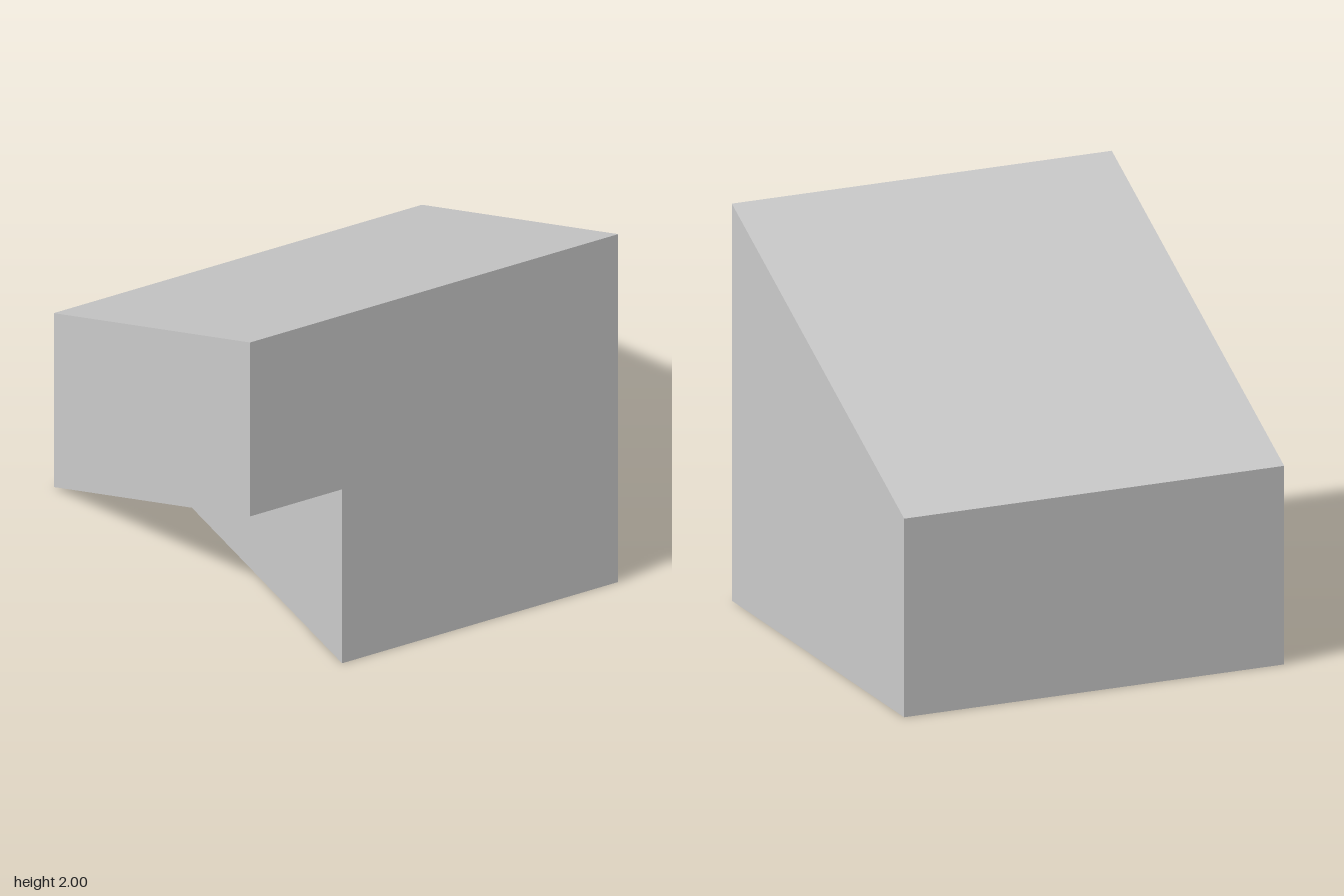
import * as THREE from 'three';

// Corners of the solid
const topFL = [1, 2, 1], topFR = [-1, 2, 1], topBL = [1, 1, -1], topBR = [-1, 1, -1];
const baseFL = [1, 0, 1], baseBL = [1, 0, -1], baseBR = [-1, 0, -1];
// Corners of the wedge cut under the right side
const cutFront = [-0.5, 0, 1], cutBack = [-0.5, 0, -1], cutTop = [-0.5, 1, 1], cutSide = [-1, 1, 1];

// Flat faces, each a counter-clockwise loop that can be fanned from its first corner
const faces = [
  [topFR, topFL, topBL, topBR],                          // sloping top
  [cutTop, cutFront, baseFL, topFL, topFR, cutSide],     // L-shaped front
  [topBL, baseBL, cutBack, baseBR, topBR],               // back
  [baseFL, baseBL, topBL, topFL],                        // left side
  [baseBR, cutSide, topFR, topBR],                       // right side
  [cutBack, baseBL, baseFL, cutFront],                   // bottom
  [baseBR, cutBack, cutTop, cutSide],                    // sloping underside of the cut
  [cutBack, cutFront, cutTop],                           // inner wall of the cut
];

function solidFromFaces(loops) {
  const positions = [];
  for (const loop of loops)
    for (let i = 1; i < loop.length - 1; i++)
      positions.push(...loop[0], ...loop[i], ...loop[i + 1]);
  const geometry = new THREE.BufferGeometry();
  geometry.setAttribute('position', new THREE.Float32BufferAttribute(positions, 3));
  geometry.computeVertexNormals();
  return geometry;
}

export function createModel() {
  const group = new THREE.Group();
  group.name = 'slopedBlock';
  const material = new THREE.MeshStandardMaterial({ color: 0xcccccc, flatShading: true });
  const block = new THREE.Mesh(solidFromFaces(faces), material);
  block.name = 'wedgeCutBlock';
  group.add(block);
  return group;
}
